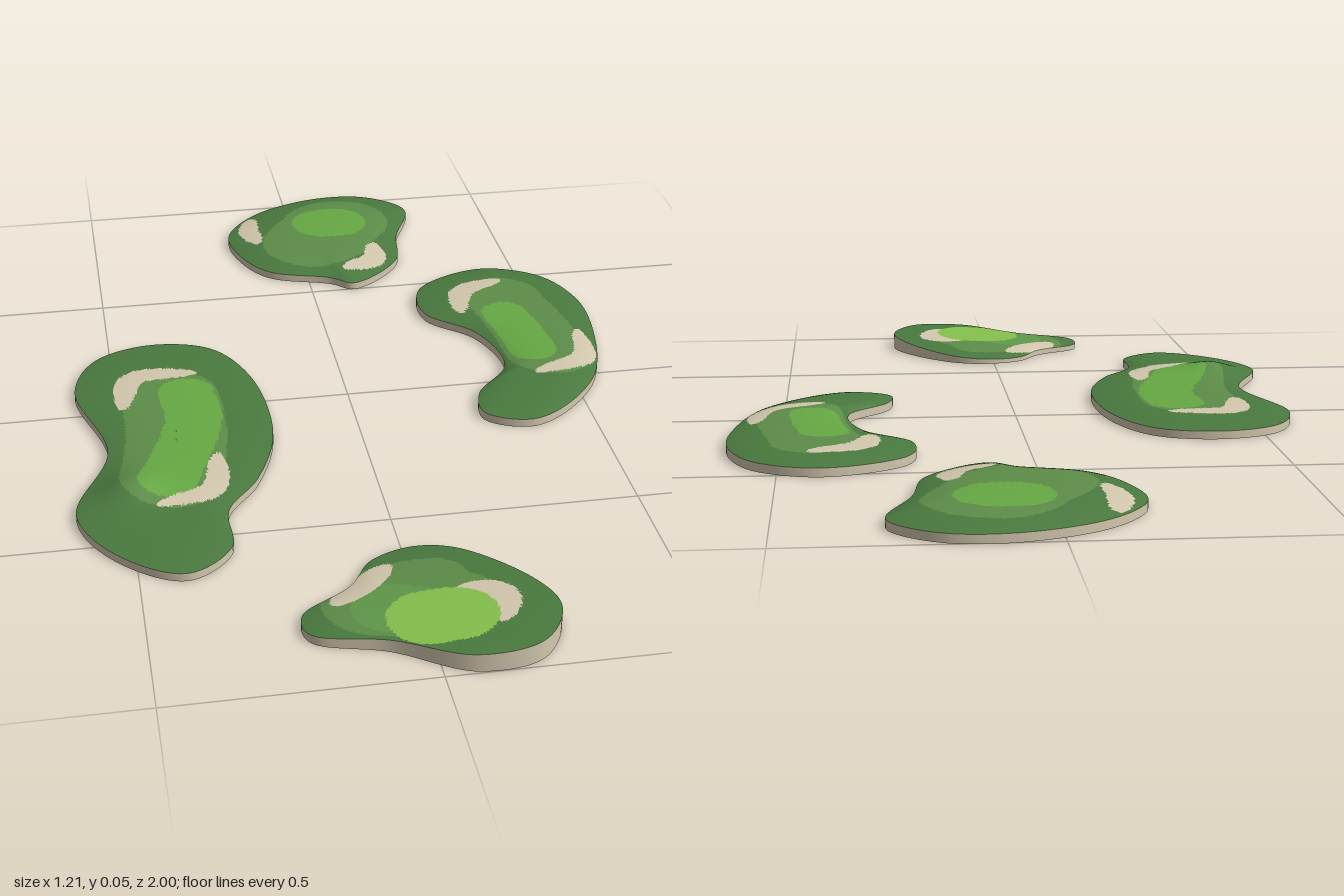
import * as THREE from 'three';

const paint = (name, color) => {
  const m = new THREE.MeshStandardMaterial({ color, side: THREE.DoubleSide });
  m.name = name;
  return m;
};
const materials = [
  paint('dark green', 0x4a7a3f), paint('mid green', 0x5d8d49), paint('fresh green', 0x60994a),
  paint('bright green', 0x66a944), paint('lime green', 0x85c04c), paint('sand', 0xd3c8ae),
];
const [DARK, MID, FRESH, BRIGHT, LIME, SAND] = materials.keys();
const AROUND = 180, RINGS = 32, STEPS = 60;

// smooth curve through [x, z] points, evenly sampled
function smooth(points, closed, count) {
  const corners = points.map(([x, z]) => new THREE.Vector3(x, 0, z));
  return new THREE.CatmullRomCurve3(corners, closed, 'centripetal').getSpacedPoints(count);
}

// colour patch: a rounded band along a path; crescents taper towards both ends
const blob = (colour, radius, path) => ({ colour, path: smooth(path, false, STEPS), radii: () => radius });
const crescent = (radius, path) => ({
  colour: SAND, path: smooth(path, false, STEPS), radii: u => radius * Math.sqrt(4 * u * (1 - u)),
});
const covers = ({ path, radii }, p) => path.some((q, i) => q.distanceTo(p) < radii(i / STEPS));

function surface(positions, index) {
  const g = new THREE.BufferGeometry();
  g.setAttribute('position', new THREE.Float32BufferAttribute(positions, 3));
  g.setIndex(index);
  g.computeVertexNormals();
  return g;
}

// outline runs clockwise seen from above; later patches cover earlier ones, the first gives the ridge
function buildIsland(name, outline, rim, rise, patches) {
  const group = new THREE.Group();
  group.name = name;
  const edge = smooth(outline, true, AROUND).slice(0, AROUND);
  const ridge = patches[0].path;
  const inner = edge.map(p => ridge.reduce((a, b) => (b.distanceToSquared(p) < a.distanceToSquared(p) ? b : a)));

  // domed turf: rings shrinking from the outline to the ridge line
  const top = [], buckets = materials.map(() => []);
  for (let j = 0; j <= RINGS; j++) {
    const t = j / RINGS;
    edge.forEach((p, i) => {
      const q = p.clone().lerp(inner[i], t);
      top.push(q.x, rim(q.x, q.z) + rise(q.x, q.z) * (1 - (1 - t) ** 3), q.z);
    });
  }
  const addTriangle = (...tri) => {
    const middle = new THREE.Vector3();
    tri.forEach(v => middle.add(new THREE.Vector3(top[v * 3] / 3, 0, top[v * 3 + 2] / 3)));
    const patch = patches.findLast(p => covers(p, middle));
    buckets[patch ? patch.colour : DARK].push(...tri);
  };
  for (let j = 0; j < RINGS; j++) {
    for (let i = 0; i < AROUND; i++) {
      const a = j * AROUND + i, b = j * AROUND + (i + 1) % AROUND;
      addTriangle(a, a + AROUND, b);
      addTriangle(b, a + AROUND, b + AROUND);
    }
  }
  const geometry = surface(top, buckets.flat());
  let start = 0;
  buckets.forEach((bucket, m) => {
    geometry.addGroup(start, bucket.length, m);
    start += bucket.length;
  });
  const turf = new THREE.Mesh(geometry, materials);
  turf.name = 'turf';

  // sand bank around the outline, open underneath
  const wall = [], wallIndex = [];
  edge.forEach((p, i) => {
    wall.push(p.x, 0, p.z, p.x, rim(p.x, p.z), p.z);
    const a = i * 2, b = ((i + 1) % AROUND) * 2;
    wallIndex.push(a, a + 1, b + 1, a, b + 1, b);
  });
  const bank = new THREE.Mesh(surface(wall, wallIndex), materials[SAND]);
  bank.name = 'sandBank';
  group.add(turf, bank);
  return group;
}

// round island at the back
const backIsland = () => buildIsland('backIsland',
  [[.08, -1], [.21, -.99], [.3, -.9], [.25, -.74], [.22, -.6], [.1, -.498], [.05, -.535], [-.09, -.59],
    [-.15, -.69], [-.165, -.81], [-.08, -.93]],
  () => 0.017, () => 0.019,
  [
    blob(MID, .13, [[.11, -.82], [.04, -.71]]),
    blob(BRIGHT, .083, [[.08, -.81], [.1, -.81]]),
    crescent(.025, [[-.1, -.89], [-.115, -.81], [-.1, -.73]]),
    crescent(.028, [[.18, -.68], [.165, -.6], [.09, -.56]]),
  ]);

// small kidney-shaped island
const leftIsland = () => buildIsland('leftIsland',
  [[.41, -.52], [.54, -.465], [.6, -.34], [.6, -.18], [.53, .06], [.37, .2], [.27, .16], [.275, .075],
    [.36, -.04], [.33, -.2], [.235, -.31], [.25, -.44]],
  () => 0.018, () => 0.014,
  [
    blob(MID, .092, [[.425, -.35], [.455, -.18], [.465, -.055]]),
    blob(BRIGHT, .052, [[.41, -.26], [.425, -.18], [.435, -.08]]),
    crescent(.028, [[.44, -.43], [.34, -.385], [.315, -.285]]),
    crescent(.025, [[.557, -.16], [.535, -.03], [.415, .025]]),
  ]);

// large kidney-shaped island with a knoll on its outer side
const rightIsland = () => buildIsland('rightIsland',
  [[-.41, -.265], [-.28, -.23], [-.205, -.095], [-.185, .16], [-.24, .335], [-.31, .44], [-.32, .57], [-.41, .64],
    [-.53, .565], [-.605, .41], [-.53, .185], [-.585, -.08], [-.53, -.215]],
  () => 0.017, (x, z) => 0.011 + 0.02 * Math.exp(-((x + .5) ** 2 + (z - .35) ** 2) / 0.005),
  [
    blob(MID, .105, [[-.385, -.01], [-.385, .14], [-.41, .325]]),
    blob(BRIGHT, .06, [[-.35, -.02], [-.345, .1], [-.42, .335]]),
    crescent(.028, [[-.49, .03], [-.455, -.1], [-.32, -.105]]),
    crescent(.025, [[-.31, .24], [-.335, .37], [-.445, .42]]),
  ]);

// three-cornered island at the front, tilted up towards its front left
const frontIsland = () => buildIsland('frontIsland',
  [[.02, .615], [.1, .64], [.215, .78], [.24, .88], [.18, .98], [.06, .995], [-.08, .915], [-.215, .865],
    [-.22, .8], [-.12, .725], [-.065, .645]],
  (x, z) => 0.022 + 0.04 * x + 0.06 * (z - 0.8), () => 0.007,
  [
    blob(MID, .11, [[-.075, .79], [.04, .83]]),
    blob(MID, .07, [[-.01, .74], [.03, .74]]),
    blob(FRESH, .075, [[-.06, .82], [.04, .87]]),
    crescent(.03, [[-.16, .785], [-.1, .735], [-.04, .68]]),
    crescent(.042, [[.07, .8], [.13, .82], [.12, .9]]),
    blob(LIME, .083, [[.005, .865], [.045, .865]]),
  ]);

export function createModel() {
  const model = new THREE.Group();
  model.name = 'islands';
  model.add(backIsland(), leftIsland(), rightIsland(), frontIsland());
  return model;
}
